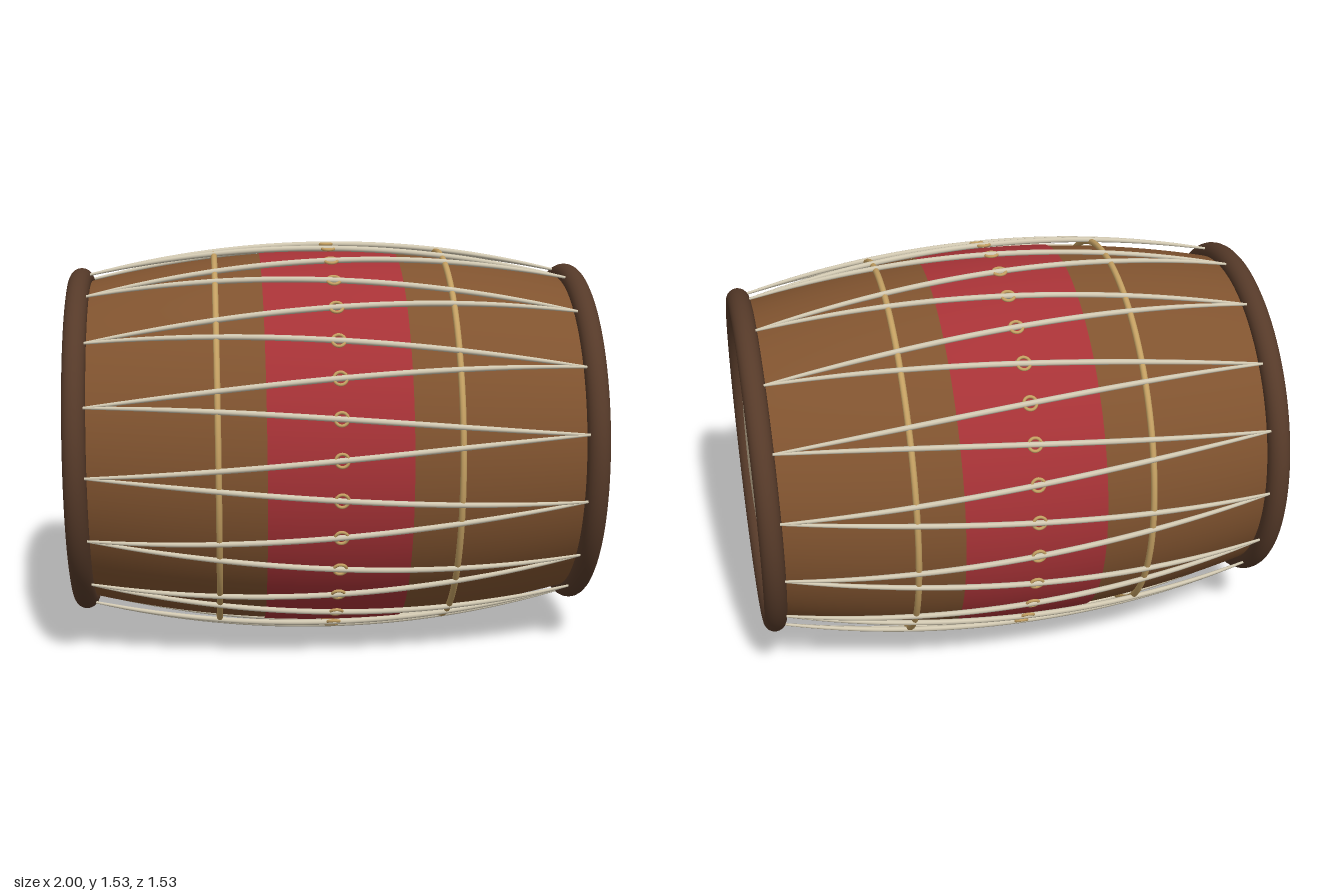
import * as THREE from 'three';

const CENTRE_Y = 0.767;
const COUNT = 32; // rope spans around the shell

const mat = (color) => new THREE.MeshStandardMaterial({ color });

function add(parent, name, geometry, material) {
  const mesh = new THREE.Mesh(geometry, material);
  mesh.name = name;
  parent.add(mesh);
  return mesh;
}

// Barrel radius at a distance t along the drum axis
const shellRadius = (t) => 0.73 - 0.11 * (t / 0.92) ** 2;

function barrel(from, to, offset, steps) {
  const points = [];
  for (let i = 0; i <= steps; i++) {
    const t = from + ((to - from) * i) / steps;
    points.push(new THREE.Vector2(shellRadius(t) + offset, t));
  }
  return new THREE.LatheGeometry(points, 96);
}

// Hoop lying around the drum axis
function hoop(radius, tube, sides) {
  return new THREE.TorusGeometry(radius, tube, sides, 96).rotateX(Math.PI / 2);
}

// Rope span bulging over the shell, thinner towards its ends
function ropeSpan(startAngle, endAngle) {
  const points = [];
  for (let i = 0; i <= 16; i++) {
    const s = i / 16;
    const u = 2 * s - 1;
    const a = startAngle + (endAngle - startAngle) * s;
    const r = 0.756 - 0.106 * u * u;
    points.push(new THREE.Vector3(r * Math.sin(a), 0.92 * u, r * Math.cos(a)));
  }
  const path = new THREE.CatmullRomCurve3(points);
  const segments = 32, sides = 8;
  const geometry = new THREE.TubeGeometry(path, segments, 0.011, sides);
  const position = geometry.attributes.position;
  const v = new THREE.Vector3();
  for (let i = 0; i <= segments; i++) {
    const centre = path.getPointAt(i / segments);
    const taper = 1 - 0.55 * Math.abs((2 * i) / segments - 1) ** 3;
    for (let j = 0; j <= sides; j++) {
      const k = i * (sides + 1) + j;
      v.fromBufferAttribute(position, k).sub(centre).multiplyScalar(taper).add(centre);
      position.setXYZ(k, v.x, v.y, v.z);
    }
  }
  return geometry;
}

export function createModel() {
  const wood = mat(0x80532f);
  const red = mat(0xa63236);
  const darkWood = mat(0x563a29);
  const brass = mat(0xc4a062);
  const rope = mat(0xd2c9b2);
  const skin = mat(0xd2bf9f);

  // Built upright, then laid on its side
  const drum = new THREE.Group();
  drum.name = 'drum';

  add(drum, 'shell', barrel(-0.95, 0.95, 0, 40), wood);
  add(drum, 'centreBand', barrel(-0.265, 0.265, 0.005, 16), red);

  // Shallow domed head
  const dome = [];
  for (let i = 0; i <= 12; i++) {
    const r = 0.62 * (1 - i / 12);
    dome.push(new THREE.Vector2(r, 0.985 - 0.045 * (r / 0.62) ** 2));
  }

  for (const side of [1, -1]) {
    const end = new THREE.Group();
    end.name = side > 0 ? 'leftEnd' : 'rightEnd';
    end.rotation.x = side > 0 ? 0 : Math.PI;
    add(end, 'drumHead', new THREE.LatheGeometry(dome, 96), skin);
    add(end, 'rim', hoop(0.628, 0.043, 20), darkWood).position.y = 0.957;
    add(end, 'hoop', hoop(0.724, 0.012, 10), brass).position.y = 0.44;
    drum.add(end);
  }

  // Zigzag lacing with a small tuning ring on every span
  const lacing = new THREE.Group();
  lacing.name = 'lacing';
  const step = (2 * Math.PI) / COUNT;
  const ringGeometry = new THREE.TorusGeometry(0.024, 0.006, 8, 20);
  for (let i = 0; i < COUNT; i++) {
    const low = i % 2 === 0 ? i : i + 1;
    const high = i % 2 === 0 ? i + 1 : i;
    add(lacing, 'ropeSpan', ropeSpan(low * step, high * step), rope);
    const a = (i + 0.5) * step;
    const ring = add(lacing, 'tuningRing', ringGeometry, brass);
    ring.position.set(0.756 * Math.sin(a), 0, 0.756 * Math.cos(a));
    ring.rotation.y = a;
  }
  drum.add(lacing);

  drum.rotation.z = -Math.PI / 2;
  drum.position.y = CENTRE_Y;

  const model = new THREE.Group();
  model.name = 'barrelDrum';
  model.add(drum);
  return model;
}
